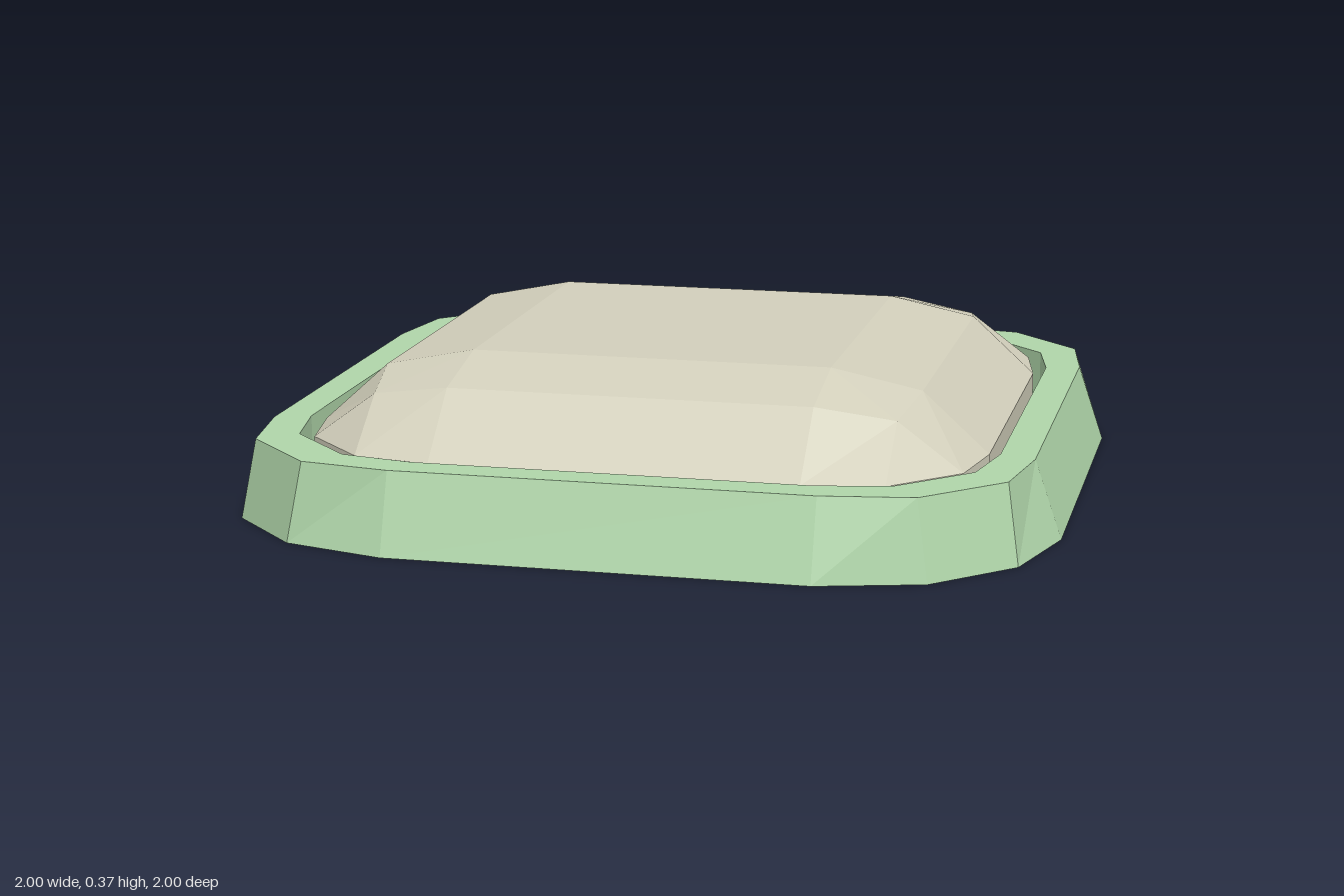
import * as THREE from 'three';

// Twelve-point rounded-square loop: (A,a) ends the straight side, (B,b) is on the corner.
function loop(A, a, B, b, y) {
  const points = [];
  for (let k = 0; k < 4; k++) {
    for (let [x, z] of [[A, a], [B, b], [b, B], [a, A]]) {
      for (let r = 0; r < k; r++) [x, z] = [-z, x];
      points.push(new THREE.Vector3(x, y, z));
    }
  }
  return points;
}

// Skin successive loops with flat faces, skipping collapsed triangles.
function loft(loops) {
  const positions = [];
  const triangle = (a, b, c) => {
    const area = b.clone().sub(a).cross(c.clone().sub(a)).length();
    if (area > 1e-8) for (const p of [a, b, c]) positions.push(p.x, p.y, p.z);
  };
  for (let j = 0; j < loops.length - 1; j++) {
    const low = loops[j], high = loops[j + 1], n = low.length;
    for (let i = 0; i < n; i++) {
      const k = (i + 1) % n;
      triangle(low[i], high[i], low[k]);
      triangle(low[k], high[i], high[k]);
    }
  }
  const geometry = new THREE.BufferGeometry();
  geometry.setAttribute('position', new THREE.Float32BufferAttribute(positions, 3));
  geometry.computeVertexNormals();
  return geometry;
}

function part(name, geometry, color, side = THREE.FrontSide) {
  const mesh = new THREE.Mesh(
    geometry,
    new THREE.MeshStandardMaterial({ color, flatShading: true, side })
  );
  mesh.name = name;
  return mesh;
}

export function createModel() {
  const group = new THREE.Group();
  group.name = 'framedDome';

  // Frame: sloping outside, flat top and upright inner wall
  const frame = loft([
    loop(0.85, 0.47, 0.815, 0.65, 0),
    loop(1, 0.5, 0.93, 0.75, 0),
    loop(0.935, 0.5, 0.9, 0.72, 0.19),
    loop(0.85, 0.47, 0.815, 0.65, 0.19),
    loop(0.85, 0.47, 0.815, 0.65, 0),
  ]);
  group.add(part('frame', frame, 0xb0d6aa));

  // Dome: open shell with a short skirt, rounded shoulders and a flat top
  const shoulder = loop(0.66, 0.44, 0.63, 0.63, 0.325);
  shoulder.forEach((p, i) => { if (i % 4 === 1 || i % 4 === 2) p.y = 0.295; });
  const dome = loft([
    loop(0.82, 0.44, 0.785, 0.63, 0.12),
    loop(0.82, 0.44, 0.785, 0.63, 0.18),
    shoulder,
    loop(0.44, 0.44, 0.44, 0.44, 0.37),
    loop(0, 0, 0, 0, 0.37),
  ]);
  group.add(part('dome', dome, 0xd3d0bc, THREE.DoubleSide));

  return group;
}
